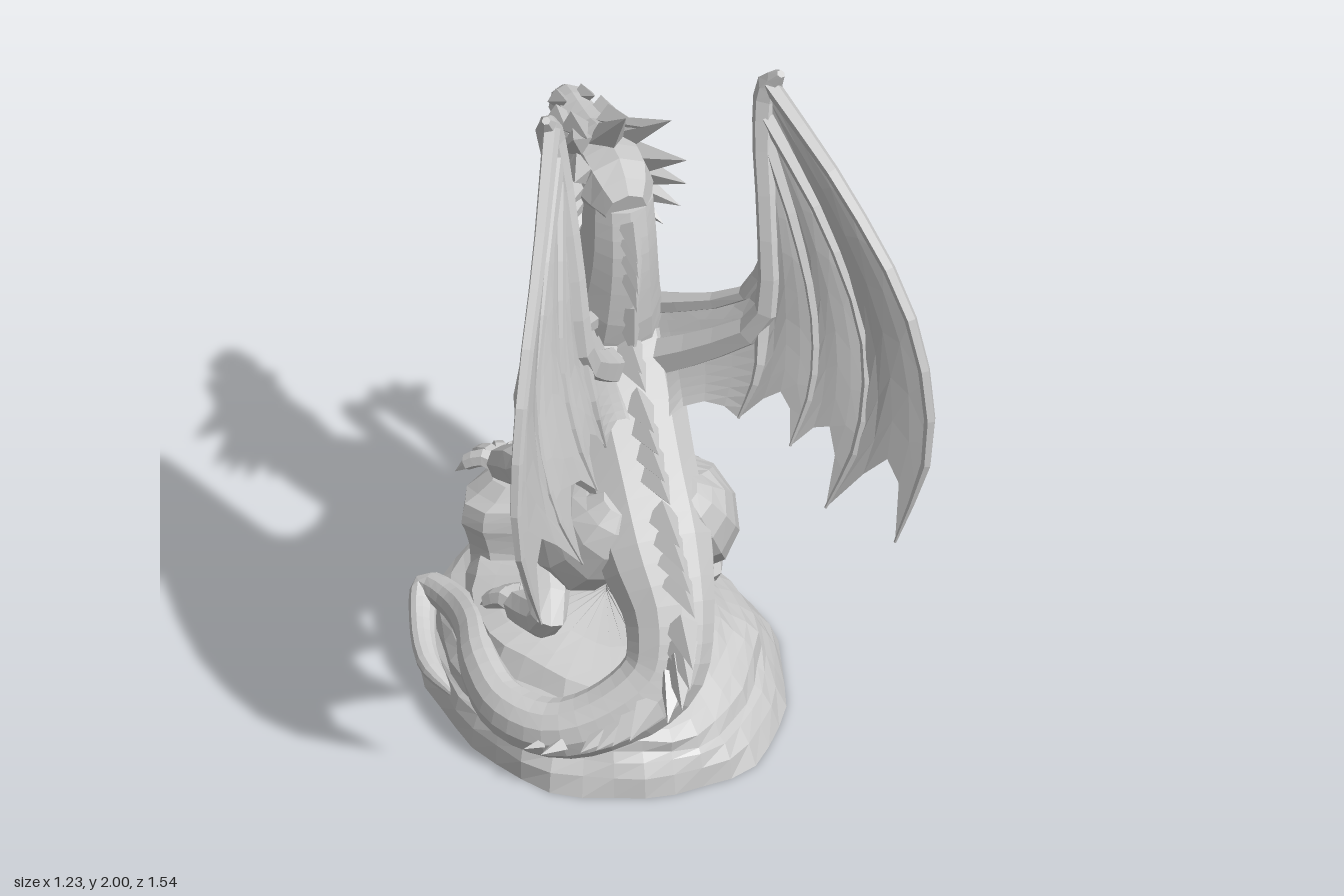
import * as THREE from 'three';

const V = (p) => new THREE.Vector3(p[0], p[1], p[2]);
const skin = new THREE.MeshStandardMaterial({ color: 0xcccccc, flatShading: true });
const thin = new THREE.MeshStandardMaterial({ color: 0xcccccc, flatShading: true, side: THREE.DoubleSide });

function addMesh(parent, name, geo, mat = skin) {
  const m = new THREE.Mesh(geo, mat);
  m.name = name;
  parent.add(m);
  return m;
}

// grid of points -> surface; columns wrap round when closed
function gridGeometry(rows, closed) {
  const n = rows[0].length, pos = rows.flat().flatMap((p) => [p.x, p.y, p.z]), idx = [];
  for (let i = 0; i < rows.length - 1; i++)
    for (let j = 0; j < (closed ? n : n - 1); j++) {
      const k = (j + 1) % n, a = i * n + j, b = i * n + k;
      idx.push(a, b, b + n, a, b + n, a + n);
    }
  const g = new THREE.BufferGeometry();
  g.setAttribute('position', new THREE.Float32BufferAttribute(pos, 3));
  g.setIndex(idx);
  g.computeVertexNormals();
  return g;
}

// smooth path of elliptical sections, points are [x, y, z, halfWidth, halfDepth]
function frames(pts, steps) {
  const path = new THREE.CatmullRomCurve3(pts.map(V));
  const size = new THREE.CatmullRomCurve3(pts.map((p) => new THREE.Vector3(p[3], p[4] ?? p[3], 0)));
  const out = [];
  let a = new THREE.Vector3(1, 0, 0);
  for (let i = 0; i <= steps; i++) {
    const t = path.getTangent(i / steps), r = size.getPoint(i / steps);
    if (i === 0 && Math.abs(t.x) > 0.9) a.set(0, 0, 1);
    a = a.clone().addScaledVector(t, -a.dot(t)).normalize();
    out.push({ c: path.getPoint(i / steps), t, a, b: t.clone().cross(a), rx: r.x, ry: r.y });
  }
  return out;
}

function loft(parent, name, pts, sides = 8, steps = (pts.length - 1) * 2) {
  const fr = frames(pts, steps);
  const rows = fr.map((f) => Array.from({ length: sides }, (_, j) => {
    const w = (j / sides) * Math.PI * 2;
    return f.c.clone().addScaledVector(f.a, Math.cos(w) * f.rx).addScaledVector(f.b, Math.sin(w) * f.ry);
  }));
  rows.unshift(Array(sides).fill(fr[0].c));
  rows.push(Array(sides).fill(fr[steps].c));
  addMesh(parent, name, gridGeometry(rows, true));
  return fr;
}

// pointed cone from one point to another
function spike(parent, name, from, to, r, flat = 1) {
  const d = to.clone().sub(from), h = d.length();
  const g = new THREE.ConeGeometry(r, h, 4);
  g.translate(0, h / 2, 0);
  const m = addMesh(parent, name, g);
  m.position.copy(from);
  m.scale.x = flat;
  m.quaternion.setFromUnitVectors(new THREE.Vector3(0, 1, 0), d.normalize());
}

// fan of thick toes with claws, bending away from the up direction
function paw(parent, name, centre, dir, up, len, spread, curl) {
  const g = new THREE.Group();
  g.name = name;
  parent.add(g);
  const c = V(centre), u = V(up).normalize();
  for (let k = 0; k < 4; k++) {
    const d = V(dir).addScaledVector(u, -V(dir).dot(u)).normalize().applyAxisAngle(u, (k / 3 - 0.5) * spread);
    const at = (f, h) => c.clone().addScaledVector(d, len * f).addScaledVector(u, len * h);
    const p = (f, h, r) => [...at(f, h).toArray(), len * r];
    loft(g, 'toe', [p(0, 0, 0.28), p(0.5, 0.2, 0.24), p(0.95, 0, 0.2)], 6, 4);
    spike(g, 'claw', at(0.88, 0.03), at(1.25, -curl), len * 0.18);
  }
}

function buildRock(root) {
  // worn mound in soft layers: [height, scale of outline]; lower on the left, fuller on the right
  const layers = [[0, 0], [0, 1], [0.06, 0.99], [0.1, 0.96], [0.12, 0.93], [0.16, 0.925], [0.19, 0.87], [0.21, 0.8],
    [0.245, 0.74], [0.26, 0.62], [0.28, 0.42], [0.29, 0]];
  const n = 36;
  const rows = layers.map(([y, s], i) => Array.from({ length: n }, (_, j) => {
    const w = (j / n) * Math.PI * 2, side = Math.cos(w);
    const k = s * (0.98 + 0.02 * Math.sin(5 * w + i * 0.5) + 0.012 * Math.sin(11 * w + i)) * (1 - 0.8 * y * Math.max(side, 0));
    const lift = y > 0.1 ? 0.012 * Math.sin(3 * w + i * 0.4) + (y > 0.22 ? 0.035 * s * Math.max(-side, 0) : 0) : 0;
    return new THREE.Vector3(-0.085 + 0.49 * k * side, y + lift, -0.02 - 0.6 * k * Math.sin(w));
  }));
  addMesh(root, 'rockBase', gridGeometry(rows, true));
  loft(root, 'boulder', [[-0.12, 0.2, -0.35, 0.24, 0.18], [-0.12, 0.27, -0.36, 0.24, 0.15], [-0.12, 0.35, -0.37, 0.26, 0.155],
    [-0.13, 0.43, -0.38, 0.24, 0.15], [-0.14, 0.48, -0.38, 0.15, 0.1]], 12);
}

function buildBody(root) {
  const fr = loft(root, 'bodyAndTail', [[-0.02, 1.53, -0.11, 0.095, 0.1], [-0.02, 1.37, -0.115, 0.105, 0.13], [-0.02, 1.2, -0.165, 0.13, 0.18],
    [-0.02, 1.03, -0.225, 0.17, 0.215], [-0.03, 0.88, -0.09, 0.18, 0.205], [-0.04, 0.73, 0.1, 0.17, 0.18], [-0.04, 0.6, 0.25, 0.165, 0.15],
    [-0.04, 0.45, 0.38, 0.125, 0.12], [-0.08, 0.32, 0.44, 0.115, 0.1], [-0.21, 0.22, 0.44, 0.1, 0.085], [-0.36, 0.16, 0.38, 0.085, 0.08],
    [-0.46, 0.16, 0.25, 0.085, 0.07], [-0.48, 0.2, 0.1, 0.075, 0.06], [-0.45, 0.21, -0.06, 0.065, 0.05], [-0.45, 0.19, -0.22, 0.05, 0.045],
    [-0.49, 0.17, -0.33, 0.045, 0.035], [-0.53, 0.13, -0.25, 0.04, 0.03], [-0.56, 0.09, -0.1, 0.035, 0.03], [-0.53, 0.07, 0.03, 0.012]], 12, 66);
  // ridge of broad swept spines, fading out along the tail
  for (let i = 1; i < 38; i += 1.25) {
    const f = fr[Math.floor(i)], s = i < 11 ? 0.75 : i < 29 ? 1 : 1 - (i - 29) * 0.075;
    const from = f.c.clone().addScaledVector(f.b, f.ry * 0.85);
    const to = from.clone().addScaledVector(f.b, 0.095 * s).addScaledVector(f.t, 0.115 * s);
    spike(root, 'backSpine', from, to, 0.055 * s, 0.85);
  }
}

function buildHead(root) {
  const head = new THREE.Group();
  head.name = 'head';
  head.position.x = -0.025;
  root.add(head);
  loft(head, 'skullAndUpperJaw', [[0, 1.52, -0.03, 0.06, 0.07], [0, 1.545, -0.11, 0.105, 0.115], [0, 1.555, -0.22, 0.105, 0.105],
    [0, 1.55, -0.33, 0.085, 0.075], [0, 1.55, -0.44, 0.062, 0.06], [0, 1.545, -0.52, 0.055, 0.055], [0, 1.515, -0.565, 0.03, 0.04]], 8);
  loft(head, 'lowerJaw', [[0, 1.45, -0.13, 0.085, 0.07], [0, 1.42, -0.24, 0.07, 0.055], [0, 1.355, -0.33, 0.055, 0.045], [0, 1.32, -0.4, 0.047, 0.042], [0, 1.35, -0.455, 0.02]], 8);
  loft(head, 'tongue', [[0, 1.45, -0.24, 0.03, 0.015], [0, 1.41, -0.34, 0.028, 0.012], [0, 1.41, -0.41, 0.01]], 6);
  spike(head, 'beakHook', V([0, 1.52, -0.55]), V([0, 1.44, -0.53]), 0.04);
  spike(head, 'chinSpike', V([0, 1.33, -0.38]), V([0, 1.27, -0.43]), 0.04);
  spike(head, 'crownHorn', V([0, 1.62, -0.22]), V([0, 1.83, -0.03]), 0.055);
  // paired horns and frill: [start, end, radius]
  const pairs = [
    [[0.06, 1.61, -0.25], [0.14, 1.77, -0.06], 0.05], [[0.05, 1.62, -0.32], [0.08, 1.72, -0.12], 0.04],
    [[0.07, 1.58, -0.18], [0.16, 1.68, 0.01], 0.05], [[0.08, 1.54, -0.18], [0.17, 1.58, -0.02], 0.045],
    [[0.08, 1.49, -0.18], [0.165, 1.48, -0.06], 0.042], [[0.07, 1.45, -0.19], [0.13, 1.4, -0.1], 0.038],
    [[0.06, 1.58, -0.42], [0.085, 1.63, -0.24], 0.04], [[0.035, 1.58, -0.5], [0.04, 1.635, -0.41], 0.03],
    [[0.045, 1.37, -0.32], [0.075, 1.32, -0.25], 0.03],
  ];
  for (const s of [1, -1]) {
    const m = (p) => new THREE.Vector3(p[0] * s, p[1], p[2]);
    for (const [a, b, r] of pairs) spike(head, 'horn', m(a), m(b), r);
    for (let i = 0; i < 4; i++) {
      const z = -0.35 - i * 0.048, x = 0.055 - i * 0.005;
      spike(head, 'upperTooth', m([x, 1.51, z]), m([x, 1.465, z]), 0.014);
      if (i < 3) spike(head, 'lowerTooth', m([x - 0.02, 1.36, z + 0.01]), m([x - 0.02, 1.41, z + 0.01]), 0.012);
    }
    const eye = addMesh(head, 'eye', new THREE.IcosahedronGeometry(0.02, 0));
    eye.position.set(s * 0.078, 1.57, -0.34);
  }
}

function buildLegs(root) {
  // hind legs; the model's right foot is set wider, higher and further back
  for (const [name, s, dx, out] of [['left', 1, 0, 0], ['right', -1, -0.09, 1]]) {
    const m = (x, y, z, rx, ry) => {
      const k = out * THREE.MathUtils.clamp((0.58 - y) * 5, 0, 1);
      return [s * (x + 0.09 * k) + dx, y + 0.035 * k, z + 0.13 * k, rx, ry];
    };
    loft(root, name + 'Thigh', [m(0.04, 0.76, 0.23, 0.05), m(0.07, 0.68, 0.2, 0.11, 0.12), m(0.11, 0.59, 0.11, 0.13, 0.165),
      m(0.135, 0.55, 0, 0.11, 0.14), m(0.15, 0.54, -0.08, 0.085, 0.1), m(0.15, 0.53, -0.13, 0.04, 0.05)], 10);
    loft(root, name + 'Shin', [m(0.15, 0.53, -0.07, 0.08), m(0.155, 0.45, 0.03, 0.07), m(0.155, 0.385, 0.1, 0.05),
      m(0.155, 0.335, 0.02, 0.055), m(0.155, 0.285, -0.1, 0.06, 0.05)], 8);
    paw(root, name + 'HindFoot', m(0.155, 0.27, -0.1).slice(0, 3), [s * 0.1, -0.2, -1], [0, 1, -0.2], 0.13, 1.0, 0.25);
  }
  // planted foreleg on the boulder
  loft(root, 'rightForeleg', [[-0.1, 1.0, -0.19, 0.08], [-0.18, 0.92, -0.17, 0.1, 0.12], [-0.24, 0.8, -0.1, 0.075, 0.09], [-0.265, 0.69, -0.09, 0.06],
    [-0.27, 0.61, -0.21, 0.06], [-0.27, 0.535, -0.33, 0.05]], 8);
  paw(root, 'rightForefoot', [-0.27, 0.515, -0.34], [-0.1, -0.1, -1], [0, 1, -0.1], 0.11, 1.7, 0.3);
  // raised foreleg
  loft(root, 'leftForeleg', [[0.05, 1.02, -0.19, 0.07], [0.1, 0.93, -0.2, 0.1, 0.13], [0.16, 0.82, -0.27, 0.075, 0.1], [0.18, 0.765, -0.36, 0.07],
    [0.175, 0.83, -0.48, 0.07], [0.155, 0.895, -0.6, 0.052], [0.14, 0.925, -0.65, 0.052]], 8);
  spike(root, 'elbowSpur', V([0.18, 0.75, -0.34]), V([0.19, 0.66, -0.38]), 0.05);
  paw(root, 'leftHand', [0.13, 0.93, -0.63], [-0.15, 0.35, -0.9], [0.15, 0.9, 0.35], 0.11, 1.7, 0.5);
  loft(root, 'thumb', [[0.12, 0.89, -0.61, 0.035], [0.09, 0.87, -0.67, 0.03], [0.07, 0.85, -0.7, 0.024]], 6);
  spike(root, 'thumbClaw', V([0.075, 0.855, -0.69]), V([0.07, 0.81, -0.74]), 0.025);
}

function buildWing(root, name, place) {
  const wing = new THREE.Group();
  wing.name = name;
  root.add(wing);
  const P = (list) => list.map((p) => [...place(p[0], p[1], p[2]), ...p.slice(3)]);
  const arm = P([[0.03, 0.98, -0.08, 0.06], [0.16, 1.09, 0.06, 0.05], [0.29, 1.25, 0.2, 0.04], [0.31, 1.5, 0.18, 0.033],
    [0.325, 1.78, 0.1, 0.035], [0.345, 1.92, 0.075, 0.038], [0.365, 1.99, 0.12, 0.012]]);
  loft(wing, 'wingArm', arm, 6, 14);
  // finger bones, each from the wrist to a pointed end
  const fingers = [
    [[0.345, 1.94, 0.09, 0.025], [0.46, 1.75, 0.39, 0.02], [0.565, 1.47, 0.62, 0.018], [0.595, 1.1, 0.69, 0.016], [0.52, 0.74, 0.62, 0.004]],
    [[0.335, 1.84, 0.1, 0.025], [0.43, 1.6, 0.32, 0.02], [0.49, 1.3, 0.46, 0.016], [0.46, 1.02, 0.5, 0.014], [0.38, 0.77, 0.45, 0.004]],
    [[0.33, 1.78, 0.11, 0.022], [0.37, 1.55, 0.24, 0.018], [0.39, 1.32, 0.33, 0.014], [0.37, 1.12, 0.37, 0.012], [0.31, 0.93, 0.36, 0.004]],
    [[0.325, 1.74, 0.12, 0.012], [0.31, 1.5, 0.18, 0.02], [0.29, 1.25, 0.2, 0.025], [0.26, 1.1, 0.24, 0.015], [0.21, 0.95, 0.22, 0.004]],
  ].map(P);
  fingers.forEach((f) => loft(wing, 'wingFinger', f, 5, 10));
  // web panels with scalloped trailing edges
  const web = (a, b, sag) => {
    const ca = new THREE.CatmullRomCurve3(a.map(V)), cb = new THREE.CatmullRomCurve3(b.map(V)), rows = [];
    for (let i = 0; i <= 8; i++) {
      const row = [];
      for (let j = 0; j <= 4; j++) {
        const u = j / 4, e = Math.sin(Math.PI * u), t = (i / 8) * (1 - 0.2 * e);
        const p = ca.getPoint(t).lerp(cb.getPoint(t), u);
        p.x *= 1 - sag * e * Math.sin(Math.PI * t);
        row.push(p);
      }
      rows.push(row);
    }
    addMesh(wing, 'wingWeb', gridGeometry(rows, false), thin);
  };
  for (let i = 0; i < 3; i++) web(fingers[i], fingers[i + 1], 0.03);
  web(P([[0.29, 1.25, 0.2], [0.26, 1.1, 0.24], [0.21, 0.95, 0.22]]), P([[0.04, 1.06, -0.15], [0.04, 0.98, 0], [0.04, 0.92, 0.12]]), 0);
  // broad upper arm in front of the bone
  const lead = P([[0.31, 1.45, 0.18, 0.02], [0.27, 1.27, 0.1, 0.022], [0.14, 1.16, -0.06, 0.03], [0.02, 1.08, -0.22, 0.04]]);
  loft(wing, 'leadingEdge', lead, 6);
  web(lead, P([[0.3, 1.35, 0.19], [0.28, 1.24, 0.19], [0.15, 1.08, 0.05], [0.02, 0.98, -0.08]]), 0);
}

export function createModel() {
  const root = new THREE.Group();
  root.name = 'dragonOnRock';
  buildRock(root);
  buildBody(root);
  buildHead(root);
  buildLegs(root);
  buildWing(root, 'leftWing', (x, y, z) => [x, y, z]);
  // the other wing starts closer in and sweeps further back
  buildWing(root, 'rightWing', (x, y, z) => [x < 0.34 ? -0.77 * x - 0.01 : -0.272 - (x - 0.34) * 1.29, y, z > 0.1 ? 0.1 + (z - 0.1) * 1.1 : z]);
  return root;
}
